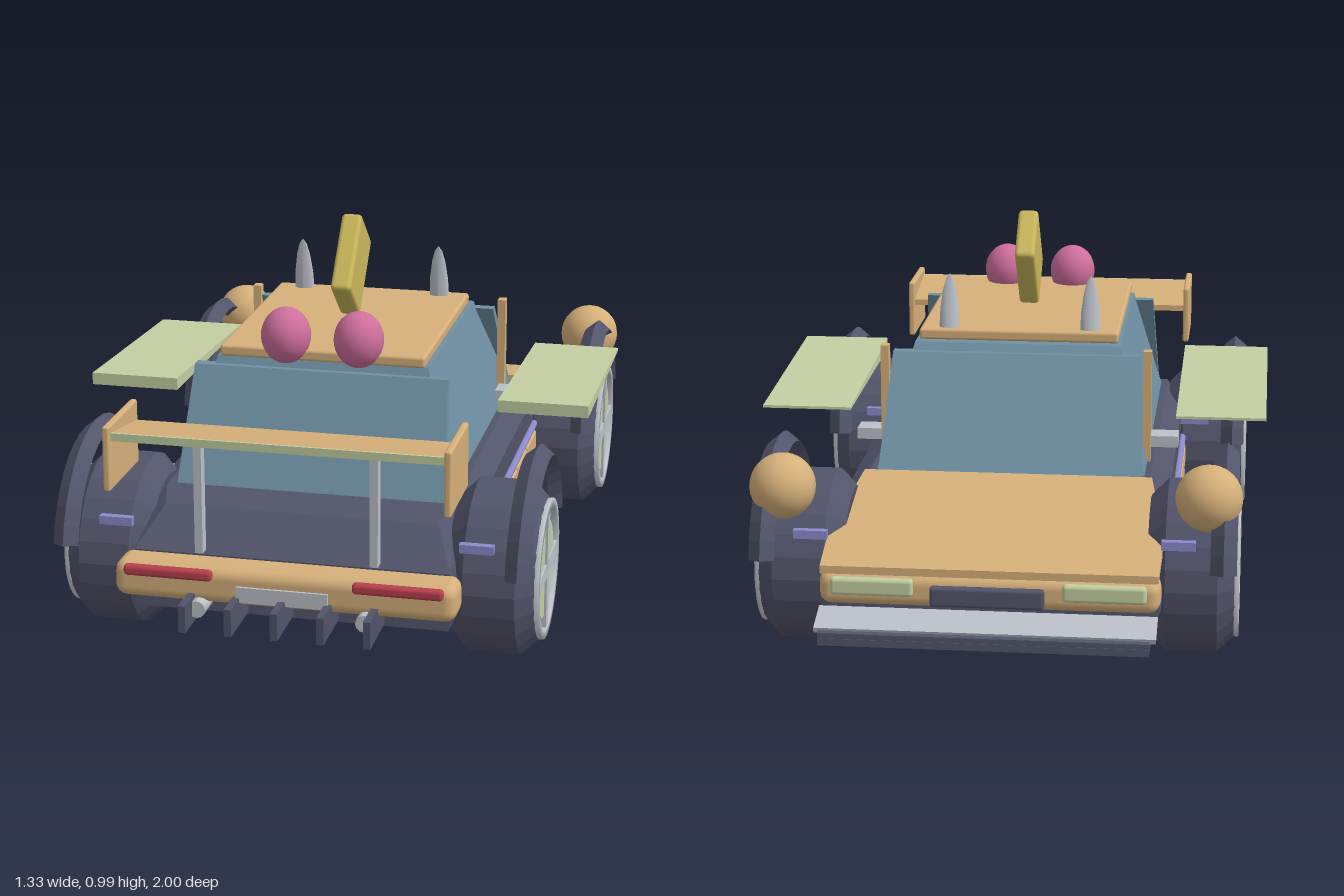
import * as THREE from 'three';
import { ConvexGeometry } from 'three/addons/geometries/ConvexGeometry.js';
import { RoundedBoxGeometry } from 'three/addons/geometries/RoundedBoxGeometry.js';

const colour = (name, hex) => {
  const m = new THREE.MeshStandardMaterial({ color: hex });
  m.name = name;
  return m;
};

export function createModel() {
  const tan = colour('tan', 0xd6b07a), dark = colour('slate', 0x52546a), blue = colour('glass blue', 0x6f91a3);
  const green = colour('pale green', 0xc3cfa2), grey = colour('light grey', 0xbcc1c9), pink = colour('pink', 0xcf6f9d);
  const yellow = colour('mustard', 0xc9b75c), red = colour('red', 0xb8404e), purple = colour('violet', 0x8c8acb);
  const car = new THREE.Group();
  car.name = 'buggy';

  const add = (name, geo, mat, x = 0, y = 0, z = 0, parent = car) => {
    const m = new THREE.Mesh(geo, mat);
    m.name = name;
    m.position.set(x, y, z);
    parent.add(m);
    return m;
  };
  const box = (name, w, h, d, mat, x, y, z) => add(name, new THREE.BoxGeometry(w, h, d), mat, x, y, z);
  const rbox = (name, w, h, d, r, mat, x, y, z) => add(name, new RoundedBoxGeometry(w, h, d, 2, r), mat, x, y, z);
  // Convex solid from [half width, y, z] corners mirrored in x
  const solid = (name, pts, mat) => add(name, new ConvexGeometry(
    pts.flatMap(([x, y, z]) => [new THREE.Vector3(x, y, z), new THREE.Vector3(-x, y, z)])), mat);
  const flat = (g) => {
    const f = g.toNonIndexed();
    f.computeVertexNormals();
    return f;
  };

  // Body hull
  solid('body', [
    [0.39, 0.135, -0.86], [0.40, 0.135, 0.84], [0.42, 0.2, -0.85], [0.42, 0.2, 0.83],
    [0.42, 0.29, -0.36], [0.42, 0.3, 0.45], [0.40, 0.27, -0.85], [0.40, 0.28, 0.83],
    [0.42, 0.36, -0.34], [0.42, 0.36, 0.4], [0.37, 0.39, -0.4], [0.37, 0.39, 0.64],
    [0.35, 0.365, 0.72],
  ], dark);
  solid('hood', [
    [0.375, 0.385, -0.41], [0.375, 0.405, -0.41], [0.415, 0.275, -0.865], [0.415, 0.295, -0.865],
    [0.42, 0.335, -0.7], [0.42, 0.315, -0.7],
  ], tan);

  // Cabin, glass plates and roof
  solid('cabin', [
    [0.355, 0.38, -0.36], [0.355, 0.38, 0.61], [0.275, 0.69, -0.165], [0.275, 0.69, 0.48],
  ], blue);
  solid('windscreen', [
    [0.345, 0.39, -0.39], [0.345, 0.39, -0.355], [0.33, 0.67, -0.195], [0.33, 0.67, -0.165],
  ], blue);
  solid('rearWindow', [
    [0.345, 0.39, 0.635], [0.345, 0.39, 0.6], [0.33, 0.67, 0.505], [0.33, 0.67, 0.475],
  ], blue);
  rbox('roof', 0.535, 0.03, 0.63, 0.008, tan, 0, 0.705, 0.175);

  // Roof fin
  rbox('roofFin', 0.055, 0.224, 0.162, 0.012, yellow, 0, 0.86, 0.15).rotation.x = -0.71;

  // Rear wing
  solid('rearWing', [
    [0.415, 0.605, 0.955], [0.415, 0.626, 0.955], [0.415, 0.575, 0.75], [0.415, 0.592, 0.75],
  ], tan);
  box('wingEdge', 0.82, 0.02, 0.006, green, 0, 0.616, 0.957);

  // Bumpers and end details
  rbox('rearBumper', 0.86, 0.095, 0.11, 0.03, tan, 0, 0.23, 0.86);
  rbox('frontBumper', 0.84, 0.085, 0.1, 0.03, tan, 0, 0.235, -0.82);
  box('rearPlate', 0.23, 0.04, 0.01, grey, 0, 0.218, 0.917);
  rbox('frontPlate', 0.28, 0.05, 0.025, 0.008, dark, 0, 0.235, -0.89);
  box('splitter', 0.8, 0.018, 0.155, dark, 0, 0.148, -0.922);
  box('splitterLip', 0.8, 0.03, 0.02, dark, 0, 0.155, -0.988);
  box('splitterBlade', 0.83, 0.014, 0.09, grey, 0, 0.178, -0.922).rotation.x = -0.3;
  for (let i = -2; i <= 2; i++) box('diffuserFin', 0.018, 0.07, 0.17, dark, i * 0.115, 0.175, 0.915);

  // Tyre profile: radius, offset along the axle
  const tyreGeo = flat(new THREE.LatheGeometry([
    [0.001, -0.1], [0.15, -0.11], [0.175, -0.11], [0.22, -0.065], [0.22, 0.065], [0.175, 0.11], [0.15, 0.1], [0.001, 0.1],
  ].map(([r, a]) => new THREE.Vector2(r, a)), 24));
  tyreGeo.rotateZ(-Math.PI / 2);
  const rimGeo = new THREE.LatheGeometry([
    [0.155, -0.02], [0.178, -0.02], [0.178, 0.008], [0.155, 0.008], [0.155, -0.02],
  ].map(([r, a]) => new THREE.Vector2(r, a)), 32);
  rimGeo.rotateZ(-Math.PI / 2);
  const discGeo = new THREE.CylinderGeometry(0.125, 0.125, 0.02, 24).rotateZ(Math.PI / 2);
  // Ridged fender arch over each wheel
  const archGeo = flat(new THREE.TorusGeometry(0.272, 0.026, 4, 16, Math.PI * 0.88));
  archGeo.rotateZ(Math.PI * 0.06).scale(1, 1, 1.25).rotateY(Math.PI / 2);
  archGeo.computeVertexNormals();
  // Horn: rounded cone whose tip leans to its rear edge
  const hornGeo = new THREE.LatheGeometry([[0.027, 0], [0.025, 0.05], [0.018, 0.1], [0.01, 0.13], [0.0005, 0.143]]
    .map(([r, y]) => new THREE.Vector2(r, y)), 16);
  const hp = hornGeo.attributes.position;
  for (let i = 0; i < hp.count; i++) {
    const t = hp.getY(i) / 0.143;
    hp.setZ(i, hp.getZ(i) * 0.75 * (1 - t * 0.7) + 0.02 * t);
  }
  hornGeo.computeVertexNormals();
  const tube = (r, len) => new THREE.CylinderGeometry(r, r, len, 12).rotateX(Math.PI / 2);

  for (const s of [1, -1]) {
    // Wheels and fenders
    for (const z of [0.59, -0.55]) {
      const wheel = new THREE.Group();
      wheel.name = 'wheel';
      wheel.position.set(s * 0.49, 0.22, z);
      if (s < 0) wheel.rotation.y = Math.PI;
      car.add(wheel);
      add('tyre', tyreGeo, dark, 0, 0, 0, wheel);
      add('rim', rimGeo, grey, 0.11, 0, 0, wheel);
      add('hubDisc', discGeo, green, 0.1, 0, 0, wheel);
      add('spoke', new THREE.BoxGeometry(0.016, 0.32, 0.036), grey, 0.108, 0, 0, wheel);
      add('spoke', new THREE.BoxGeometry(0.015, 0.036, 0.32), grey, 0.108, 0, 0, wheel);
      add('fender', archGeo, dark, s * 0.57, 0.235, z);
      for (const e of [1, -1]) box('fenderStay', 0.085, 0.022, 0.02, purple, s * 0.458, 0.337, z + e * 0.2);
    }

    // Side sills
    for (let i = 0; i < 4; i++) rbox('sillPanel', 0.03, 0.06, 0.158, 0.01, tan, s * 0.422, 0.248, 0.27 - i * 0.17);
    add('sillTube', tube(0.01, 0.74), purple, s * 0.425, 0.285, 0.02);
    add('sillTube', tube(0.016, 0.74), purple, s * 0.42, 0.185, 0.02);

    // Side wings, posts and mirrors
    const wing = new ConvexGeometry([0.43, 0.665].flatMap((x) => [
      [0.54, 0.34], [0.572, 0.34], [0.533, -0.3], [0.54, -0.3],
    ].map(([y, z]) => new THREE.Vector3(s * x, y, z))));
    add('sideWing', wing, green);
    box('cabinPost', 0.022, 0.3, 0.028, tan, s * 0.35, 0.54, -0.203);
    box('mirror', 0.085, 0.03, 0.065, grey, s * 0.39, 0.435, -0.15);

    // Lamps and ornaments
    add('noseBall', new THREE.SphereGeometry(0.083, 24, 16), tan, s * 0.53, 0.453, -0.725);
    add('roofBall', new THREE.SphereGeometry(0.064, 24, 16), pink, s * 0.095, 0.754, 0.48).scale.y = 1.14;
    add('horn', hornGeo, grey, s * 0.19, 0.718, -0.106);
    rbox('tailLight', 0.225, 0.028, 0.025, 0.01, red, s * 0.288, 0.26, 0.915);
    rbox('headlight', 0.205, 0.045, 0.025, 0.01, green, s * 0.285, 0.25, -0.878);
    add('exhaust', tube(0.022, 0.1), grey, s * 0.21, 0.178, 0.89);

    // Wing supports
    rbox('wingEndplate', 0.018, 0.165, 0.23, 0.006, tan, s * 0.418, 0.563, 0.86);
    box('wingStrut', 0.02, 0.29, 0.03, grey, s * 0.22, 0.445, 0.86);
  }
  return car;
}
